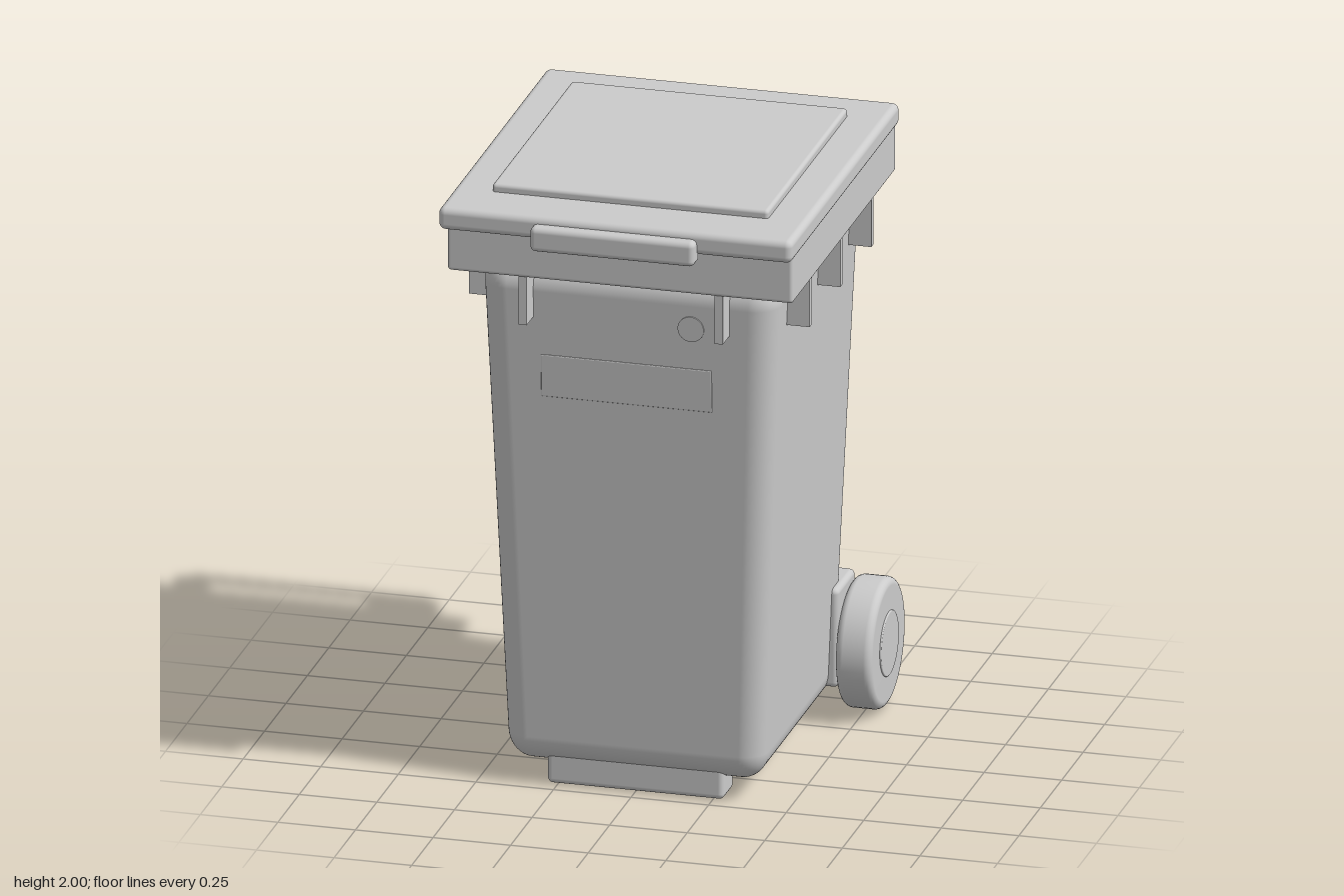
import * as THREE from 'three';
import { RoundedBoxGeometry } from 'three/addons/geometries/RoundedBoxGeometry.js';
import { mergeVertices } from 'three/addons/utils/BufferGeometryUtils.js';

const material = new THREE.MeshStandardMaterial({ color: 0xcccccc });

export function createModel() {
  const bin = new THREE.Group();
  bin.name = 'wheelieBin';

  const add = (name, geometry, x = 0, y = 0, z = 0) => {
    const mesh = new THREE.Mesh(geometry, material);
    mesh.name = name;
    mesh.position.set(x, y, z);
    bin.add(mesh);
    return mesh;
  };

  // Rounded block given by its extents on each axis
  const block = (name, [x0, x1], [y0, y1], [z0, z1], radius = 0.012) =>
    add(name, new RoundedBoxGeometry(x1 - x0, y1 - y0, z1 - z0, 3, radius),
      (x0 + x1) / 2, (y0 + y1) / 2, (z0 + z1) / 2);

  // Solid of revolution along x with softened rims
  const roundBar = (name, radius, length, bevel, x, y, z) => {
    const h = length / 2;
    const profile = [new THREE.Vector2(0, -h)];
    for (const end of [-1, 1]) {
      for (let i = 0; i <= 5; i++) {
        const a = (end < 0 ? i - 5 : i) * Math.PI / 10;
        profile.push(new THREE.Vector2(
          radius - bevel + bevel * Math.cos(a), end * (h - bevel) + bevel * Math.sin(a)));
      }
    }
    profile.push(new THREE.Vector2(0, h));
    const geometry = new THREE.LatheGeometry(profile, 48);
    geometry.rotateZ(Math.PI / 2);
    return add(name, geometry, x, y, z);
  };

  // Tapered body: a rounded box narrowed towards its base
  let body = new RoundedBoxGeometry(0.964, 1.69, 1.044, 6, 0.09);
  const p = body.attributes.position;
  for (let i = 0; i < p.count; i++) {
    const t = p.getY(i) / 1.69 + 0.5;
    p.setX(i, p.getX(i) * THREE.MathUtils.lerp(0.86, 1, t));
    p.setZ(i, p.getZ(i) * THREE.MathUtils.lerp(0.86, 1, t) + 0.028);
  }
  body.deleteAttribute('uv');
  body.deleteAttribute('normal');
  body = mergeVertices(body);
  body.computeVertexNormals();
  add('body', body, 0, 0.915, 0);

  // Rim, lid and raised lid panel
  block('rim', [-0.557, 0.557], [1.745, 1.905], [-0.574, 0.63]);
  block('lid', [-0.57, 0.57], [1.9, 1.974], [-0.578, 0.692], 0.022);
  block('lidPanel', [-0.445, 0.445], [1.95, 2], [-0.42, 0.51], 0.012);
  block('lidGrip', [-0.265, 0.265], [1.872, 1.953], [0.66, 0.73], 0.018);

  // Front foot, label plate and round badge
  block('frontFoot', [-0.285, 0.285], [0, 0.108], [0.33, 0.452], 0.018);
  const plate = block('labelPlate', [-0.28, 0.27], [1.32, 1.46], [0.52, 0.538], 0.003);
  plate.rotation.x = 0.043;
  const badge = add('roundBadge', new THREE.CylinderGeometry(0.042, 0.042, 0.02, 32), 0.205, 1.595, 0.537);
  badge.rotation.x = Math.PI / 2 + 0.043;

  // Stiffening ribs hanging below the rim
  for (const side of [-1, 1]) {
    for (const z of [0.39, 0.03, -0.33]) {
      const rib = add('sideRib', new THREE.BoxGeometry(0.1, 0.17, 0.027), side * 0.499, 1.67, z);
      rib.name = side > 0 ? 'leftSideRib' : 'rightSideRib';
    }
    add('frontRib', new THREE.BoxGeometry(0.027, 0.17, 0.1), side * 0.316, 1.67, 0.572);
  }

  // Rear handle bar
  roundBar('handleBar', 0.036, 0.73, 0.01, 0, 1.75, -0.697);

  // Rear axle
  const axleY = 0.216, axleZ = -0.458;
  roundBar('axle', 0.022, 1.0, 0.004, 0, axleY, axleZ);

  // Paired rear parts
  for (const side of [-1, 1]) {
    const span = (a, b) => (side > 0 ? [a, b] : [-b, -a]);
    block('handleBracket', span(0.328, 0.398), [1.713, 1.797], [-0.708, -0.55], 0.015);
    roundBar('lidHinge', 0.04, 0.19, 0.012, side * 0.447, 1.905, -0.601);
    block('axleBracket', span(0.325, 0.45), [0.115, 0.443], [-0.495, -0.29], 0.018);
    roundBar('wheel', 0.209, 0.118, 0.025, side * 0.507, axleY, axleZ);
    roundBar('wheelHub', 0.105, 0.128, 0.004, side * 0.507, axleY, axleZ);
  }

  return bin;
}
